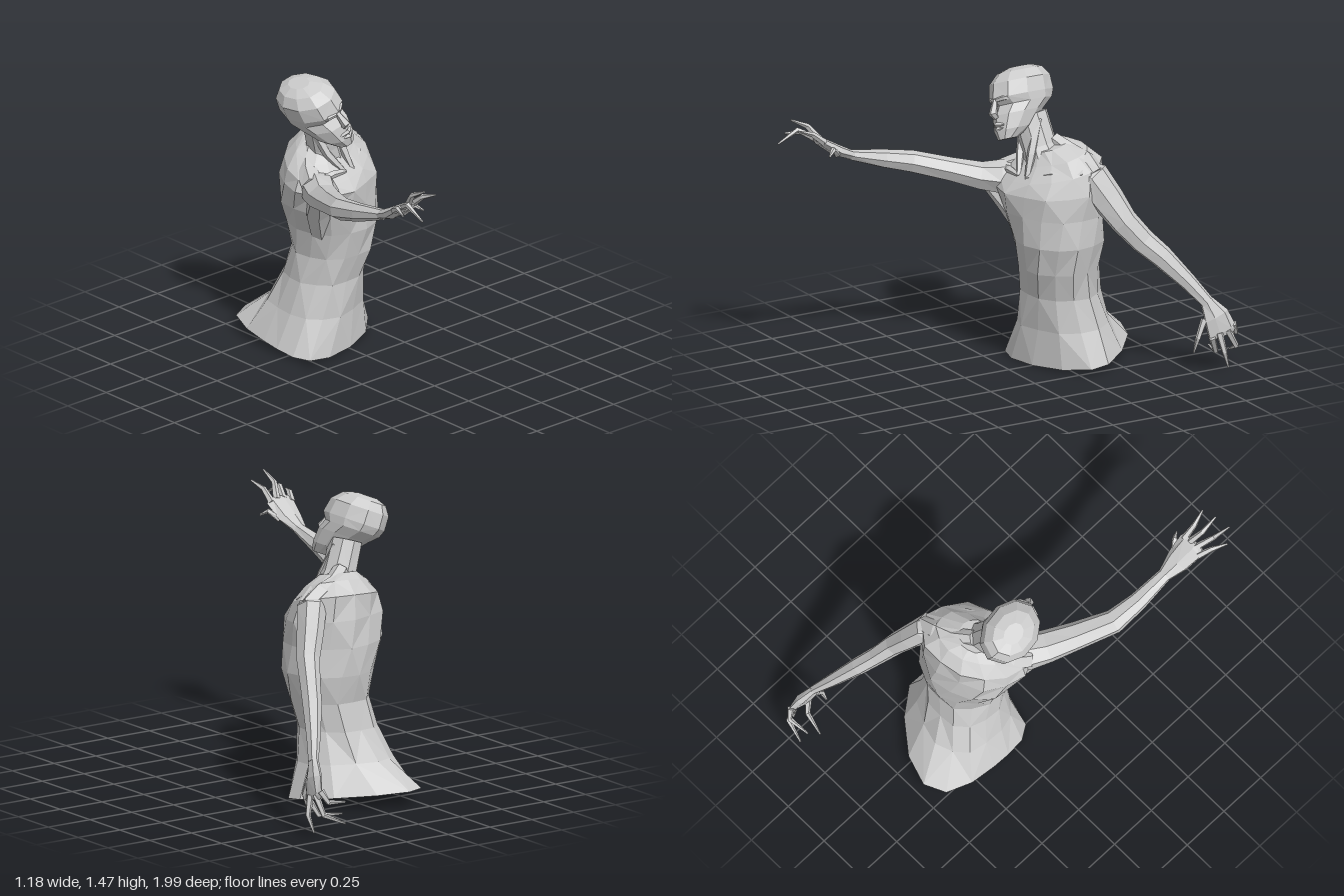
import * as THREE from 'three';

const V = (x, y, z) => new THREE.Vector3(x, y, z);
const skinGrey = new THREE.MeshStandardMaterial({ color: 0xcccccc, flatShading: true });
skinGrey.name = 'skinGrey';

// Skin a stack of vertex rings and close both ends
function skin(name, rings) {
  const pos = [];
  const tri = (...pts) => pts.forEach(p => pos.push(p.x, p.y, p.z));
  const n = rings[0].length;
  for (let r = 0; r < rings.length - 1; r++) {
    for (let i = 0; i < n; i++) {
      const j = (i + 1) % n, a = rings[r], b = rings[r + 1];
      if ((r + i) % 2) {
        tri(a[i], a[j], b[j]);
        tri(a[i], b[j], b[i]);
      } else {
        tri(a[i], a[j], b[i]);
        tri(a[j], b[j], b[i]);
      }
    }
  }
  [rings[0], rings[rings.length - 1]].forEach((ring, end) => {
    const c = ring.reduce((s, p) => s.add(p), V(0, 0, 0)).divideScalar(n);
    for (let i = 0; i < n; i++) {
      const j = (i + 1) % n;
      if (end) tri(ring[i], ring[j], c);
      else tri(ring[j], ring[i], c);
    }
  });
  const geo = new THREE.BufferGeometry();
  geo.setAttribute('position', new THREE.Float32BufferAttribute(pos, 3));
  geo.computeVertexNormals();
  const mesh = new THREE.Mesh(geo, skinGrey);
  mesh.name = name;
  return mesh;
}

// Limb through sections [x, y, z, halfWidth, halfThickness]; ref is the width direction
function limb(name, sections, ref, sides = 7) {
  const c = sections.map(s => V(s[0], s[1], s[2]));
  return skin(name, sections.map((s, k) => {
    const d = c[Math.min(k + 1, c.length - 1)].clone().sub(c[Math.max(k - 1, 0)]).normalize();
    const u = ref.clone().addScaledVector(d, -ref.dot(d)).normalize();
    const v = d.clone().cross(u);
    return Array.from({ length: sides }, (_, i) => {
      const a = i / sides * Math.PI * 2;
      return c[k].clone().addScaledVector(u, Math.cos(a) * s[3]).addScaledVector(v, Math.sin(a) * (s[4] ?? s[3]));
    });
  }));
}

// Finger through base, joint and tip
function finger(name, base, joint, tip, ref) {
  return limb(name, [[...base, 0.019], [...joint, 0.014], [...tip, 0.005]], ref, 5);
}

function torso() {
  // [y, centre x, centre z, half width, front depth, back depth, midline shift, tilt, yaw]
  const rows = [
    [0.034, -0.01, -0.36, 0.304, 0.26, 0.36, -0.14, 0.13, 0],
    [0.2, -0.012, -0.33, 0.235, 0.215, 0.23, -0.06, 0.05, 0],
    [0.36, -0.005, -0.3, 0.197, 0.19, 0.195, -0.02, 0, 0],
    [0.5, 0.015, -0.27, 0.2, 0.195, 0.2, 0, 0, 0.05],
    [0.64, 0.02, -0.26, 0.227, 0.212, 0.235, 0, 0, 0.15],
    [0.78, -0.015, -0.25, 0.262, 0.215, 0.24, 0, 0, 0.28],
    [0.9, -0.026, -0.24, 0.285, 0.212, 0.232, 0, 0.08, 0.4],
    [0.985, -0.028, -0.25, 0.268, 0.18, 0.205, 0, 0.25, 0.45],
    [1.055, -0.03, -0.26, 0.19, 0.125, 0.14, 0, 0.32, 0.4],
    [1.1, -0.045, -0.25, 0.09, 0.08, 0.1, 0, 0.25, 0.3],
  ];
  const n = 14;
  return skin('torso', rows.map(([y, cx, cz, rx, rf, rb, mid, tilt, yaw], r) =>
    Array.from({ length: n }, (_, i) => {
      const a = i / n * Math.PI * 2, s = Math.sin(a), c = Math.cos(a);
      // shallow centre groove and uneven muscle planes
      let k = r ? 1 + 0.025 * Math.sin(i * 2.7 + r * 1.9) : 1;
      if (r > 1 && r < 7 && (i === 0 || i === 7)) k -= 0.04;
      // the cut at the base narrows to a point behind
      const depth = c > 0 ? c * rf : -rb * Math.pow(-c, r ? 1 : 1.5);
      const p = V(s * rx * k + mid * c * c, 0, depth * k).applyAxisAngle(V(0, 1, 0), yaw);
      return V(cx + p.x, y - tilt * p.z + (r > 6 ? 0.05 * p.x : 0), cz + p.z);
    })));
}

function head() {
  const g = new THREE.Group();
  g.name = 'head';
  // [y, half width, front z, back z]
  const rows = [
    [-0.195, 0.045, 0.18, 0.08], [-0.15, 0.082, 0.187, -0.02], [-0.075, 0.112, 0.17, -0.1],
    [-0.03, 0.124, 0.14, -0.16], [0.008, 0.132, 0.172, -0.18], [0.08, 0.13, 0.15, -0.175],
    [0.125, 0.095, 0.1, -0.145], [0.145, 0.045, 0.03, -0.09],
  ];
  g.add(skin('skull', rows.map(([y, rx, zf, zb]) => Array.from({ length: 10 }, (_, i) => {
    const a = i / 10 * Math.PI * 2;
    return V(Math.sin(a) * rx, y, (zf + zb) / 2 + Math.cos(a) * (zf - zb) / 2);
  }))));
  const X = V(1, 0, 0), Y = V(0, 1, 0);
  g.add(limb('nose', [[0, 0.0, 0.16, 0.014, 0.012], [0, -0.065, 0.19, 0.024, 0.022], [0, -0.085, 0.175, 0.018, 0.012]], X, 5));
  g.add(limb('upperLip', [[-0.036, -0.125, 0.163, 0.008], [0, -0.118, 0.185, 0.012], [0.036, -0.125, 0.163, 0.008]], Y, 4));
  g.add(limb('lowerLip', [[-0.032, -0.14, 0.165, 0.007], [0, -0.145, 0.186, 0.011], [0.032, -0.14, 0.165, 0.007]], Y, 4));
  for (const s of [-1, 1]) {
    g.add(limb('brow', [[s * 0.012, 0.0, 0.162, 0.012], [s * 0.05, 0.004, 0.144, 0.014], [s * 0.085, -0.004, 0.1, 0.008]], Y, 5));
  }
  g.position.set(-0.194, 1.318, -0.18);
  g.rotation.set(0, 0.16, 0.4, 'ZYX');
  return g;
}

function neck() {
  const g = new THREE.Group(), X = V(1, 0, 0), Y = V(0, 1, 0);
  g.name = 'neckAndShoulderLine';
  g.add(limb('neck', [[-0.05, 0.98, -0.24, 0.12, 0.11], [-0.085, 1.09, -0.22, 0.085, 0.09], [-0.14, 1.24, -0.2, 0.078, 0.09]], X, 9));
  g.add(limb('leftNeckMuscle', [[0.0, 0.95, -0.1, 0.014], [-0.03, 1.07, -0.145, 0.024], [-0.075, 1.23, -0.21, 0.026]], X, 5));
  g.add(limb('rightNeckMuscle', [[-0.06, 0.96, -0.09, 0.014], [-0.13, 1.06, -0.14, 0.022], [-0.185, 1.2, -0.19, 0.024]], X, 5));
  g.add(limb('leftCollarbone', [[0.0, 0.965, -0.105, 0.014], [0.1, 1.0, -0.18, 0.02], [0.2, 1.005, -0.3, 0.025]], Y, 5));
  g.add(limb('rightCollarbone', [[-0.06, 0.965, -0.09, 0.014], [-0.14, 0.97, -0.09, 0.02], [-0.23, 0.95, -0.1, 0.025]], Y, 5));
  g.add(limb('leftShoulderSlope', [[-0.05, 1.12, -0.28, 0.04], [0.03, 1.07, -0.33, 0.05], [0.12, 1.04, -0.36, 0.06, 0.055], [0.2, 0.985, -0.37, 0.06, 0.05]], Y, 6));
  g.add(limb('rightShoulderSlope', [[-0.13, 1.09, -0.25, 0.03], [-0.15, 1.01, -0.25, 0.055], [-0.21, 0.965, -0.19, 0.06], [-0.25, 0.93, -0.11, 0.06]], V(0, 0.3, 1), 6));
  return g;
}

function leftArm() {
  const g = new THREE.Group(), ref = V(0.1, 0.4, -0.9);
  g.name = 'leftArm';
  g.add(limb('leftArmLength', [
    [0.14, 1.0, -0.33, 0.06], [0.185, 0.975, -0.36, 0.092, 0.07], [0.235, 0.87, -0.42, 0.084, 0.064],
    [0.29, 0.76, -0.48, 0.07, 0.056], [0.335, 0.66, -0.56, 0.064, 0.048], [0.38, 0.58, -0.64, 0.058, 0.046],
    [0.45, 0.45, -0.75, 0.043, 0.034], [0.505, 0.35, -0.825, 0.034, 0.023],
  ], ref));
  g.add(limb('leftPalm', [[0.5, 0.36, -0.82, 0.034, 0.022], [0.525, 0.28, -0.86, 0.068, 0.03], [0.54, 0.2, -0.885, 0.078, 0.02], [0.543, 0.18, -0.89, 0.06, 0.012]], ref));
  g.add(finger('leftThumb', [0.51, 0.27, -0.805], [0.515, 0.18, -0.765], [0.49, 0.1, -0.755], ref));
  g.add(finger('leftIndex', [0.54, 0.18, -0.83], [0.505, 0.095, -0.87], [0.385, 0.09, -0.9], ref));
  g.add(finger('leftMiddle', [0.55, 0.2, -0.865], [0.575, 0.105, -0.88], [0.56, 0.02, -0.91], ref));
  g.add(finger('leftRing', [0.55, 0.21, -0.91], [0.54, 0.115, -0.965], [0.43, 0.065, -0.99], ref));
  g.add(finger('leftLittle', [0.545, 0.235, -0.945], [0.52, 0.18, -0.975], [0.41, 0.165, -0.96], ref));
  return g;
}

function rightArm() {
  const g = new THREE.Group(), ref = V(1, 0, 0);
  g.name = 'rightArm';
  g.add(limb('rightArmLength', [
    [-0.17, 0.91, -0.2, 0.08], [-0.225, 0.91, -0.09, 0.092, 0.085], [-0.275, 0.915, 0.0, 0.084, 0.07],
    [-0.345, 0.95, 0.13, 0.072, 0.06], [-0.43, 0.995, 0.3, 0.062, 0.056], [-0.447, 1.03, 0.45, 0.048, 0.046],
    [-0.452, 1.08, 0.64, 0.035, 0.025],
  ], ref));
  g.add(limb('rightArmpit', [[-0.27, 0.9, -0.04, 0.05], [-0.21, 0.79, -0.12, 0.065], [-0.13, 0.62, -0.19, 0.05]], ref, 6));
  g.add(limb('rightPalm', [[-0.452, 1.075, 0.62, 0.035, 0.023], [-0.455, 1.115, 0.71, 0.065, 0.03], [-0.462, 1.175, 0.8, 0.078, 0.022], [-0.462, 1.195, 0.82, 0.06, 0.012]], ref));
  g.add(finger('rightThumb', [-0.41, 1.11, 0.73], [-0.37, 1.15, 0.775], [-0.345, 1.125, 0.81], ref));
  g.add(finger('rightIndex', [-0.41, 1.18, 0.8], [-0.41, 1.235, 0.87], [-0.39, 1.265, 0.945], ref));
  g.add(finger('rightMiddle', [-0.445, 1.19, 0.81], [-0.47, 1.26, 0.865], [-0.47, 1.305, 0.955], ref));
  g.add(finger('rightRing', [-0.485, 1.185, 0.81], [-0.52, 1.23, 0.89], [-0.52, 1.175, 0.998], ref));
  g.add(finger('rightLittle', [-0.52, 1.17, 0.79], [-0.55, 1.205, 0.85], [-0.583, 1.2, 0.925], ref));
  return g;
}

export function createModel() {
  const model = new THREE.Group();
  model.name = 'reachingFigure';
  model.add(torso(), neck(), head(), leftArm(), rightArm());
  return model;
}
